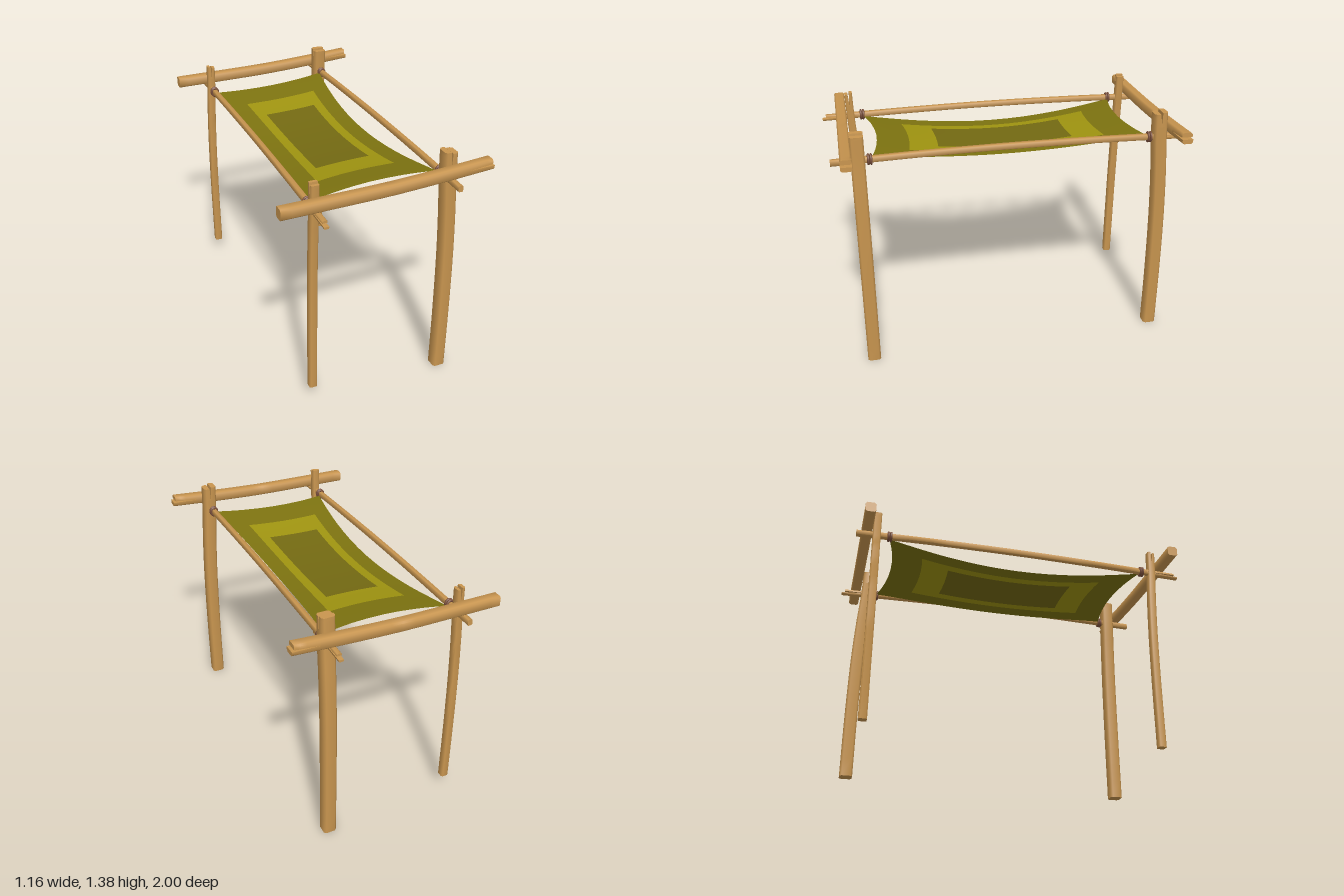
import * as THREE from 'three';
import { toCreasedNormals } from 'three/addons/utils/BufferGeometryUtils.js';

const V = (x, y, z) => new THREE.Vector3(x, y, z);
const material = (name, color, side = THREE.FrontSide) => {
  const m = new THREE.MeshStandardMaterial({ color, side });
  m.name = name;
  return m;
};

// Bevelled rectangle section, or one half of it (half = 1 or -1) beside a crack
function section(w, d, half, gap) {
  const c = Math.min(w, d) * 0.3;
  if (!half) {
    return [[w, c - d], [w, d - c], [w - c, d], [c - w, d],
      [-w, d - c], [-w, c - d], [c - w, -d], [w - c, -d]];
  }
  return [[w, c - d], [w, d - c], [w - c, d], [gap, d], [gap, -d], [w - c, -d]]
    .map(([p, q]) => [p * half, q * half]);
}

// Adds a stretch of timber between t0 and t1 on the curve; a and b are the section axes
function sweep(out, curve, a, b, t0, t1, sectionAt, steps) {
  const rings = [];
  for (let i = 0; i <= steps; i++) {
    const s = i / steps;
    const centre = curve.getPoint(t0 + (t1 - t0) * s);
    rings.push(sectionAt(s).map(([p, q]) => centre.clone().addScaledVector(a, p).addScaledVector(b, q)));
  }
  const tri = (...pts) => pts.forEach((p) => out.push(p.x, p.y, p.z));
  const n = rings[0].length;
  for (let i = 0; i < steps; i++) {
    for (let j = 0; j < n; j++) {
      const k = (j + 1) % n;
      const [lo, hi] = [rings[i], rings[i + 1]];
      tri(lo[j], lo[k], hi[k]);
      tri(lo[j], hi[k], hi[j]);
    }
  }
  const [first, last] = [rings[0], rings[steps]];
  for (let j = 1; j < n - 1; j++) {
    tri(first[0], first[j + 1], first[j]);
    tri(last[0], last[j], last[j + 1]);
  }
}

// Rough timber with a cracked end; w is the half size across the crack, d along it
function timber(name, points, a, w, d, crack, mat) {
  const curve = new THREE.CatmullRomCurve3(points);
  const along = points[points.length - 1].clone().sub(points[0]);
  along.addScaledVector(a, -along.dot(a)).normalize();
  const b = along.cross(a);
  const out = [];
  sweep(out, curve, a, b, 0, crack, () => section(w, d, 0), 16);
  for (const half of [1, -1]) {
    const end = half > 0 ? 0.99 : 1;
    sweep(out, curve, a, b, crack, end, (s) => section(w, d, half, 0.005 * s), 4);
  }
  const g = new THREE.BufferGeometry();
  g.setAttribute('position', new THREE.Float32BufferAttribute(out, 3));
  const mesh = new THREE.Mesh(toCreasedNormals(g, 0.9), mat);
  mesh.name = name;
  return mesh;
}

// Sagging cloth with pinched edges and nested colour bands
function canopyGeometry() {
  const breaks = (...stops) => {
    const list = [];
    for (let i = 0; i < stops.length - 1; i++) {
      for (let k = 0; k < 4; k++) list.push(stops[i] + (stops[i + 1] - stops[i]) * k / 4);
    }
    return [...list, stops[stops.length - 1]];
  };
  const us = breaks(-1, -0.68, -0.5, 0.5, 0.68, 1);
  const vs = breaks(-1, -0.75, -0.53, 0, 0.53, 0.75, 1);
  const pos = [];
  for (const v of vs) {
    for (const u of us) {
      const x = -0.015 + u * (0.355 - 0.06 * (1 - v * v));
      const z = -0.0125 + v * (0.7675 - 0.05 * (1 - u * u));
      pos.push(x, 1.222 + 0.042 * x - 0.062 * (1 - v * v) ** 1.2, z);
    }
  }
  const bands = [[], [], []];
  for (let r = 0; r < vs.length - 1; r++) {
    for (let c = 0; c < us.length - 1; c++) {
      const u = Math.abs(us[c] + us[c + 1]) / 2;
      const v = Math.abs(vs[r] + vs[r + 1]) / 2;
      const band = u < 0.5 && v < 0.53 ? 2 : u < 0.68 && v < 0.75 ? 1 : 0;
      const i = r * us.length + c;
      const j = i + us.length;
      bands[band].push(i, j, i + 1, i + 1, j, j + 1);
    }
  }
  const g = new THREE.BufferGeometry();
  g.setAttribute('position', new THREE.Float32BufferAttribute(pos, 3));
  g.setIndex(bands.flat());
  let start = 0;
  bands.forEach((list, m) => {
    g.addGroup(start, list.length, m);
    start += list.length;
  });
  g.computeVertexNormals();
  return g;
}

export function createModel() {
  const model = new THREE.Group();
  model.name = 'canopyFrame';
  const wood = material('wood', 0xc8954f);
  const rope = material('rope', 0x7a4f3c);
  const cloth = [
    material('clothBorder', 0x7d7310, THREE.DoubleSide),
    material('clothBand', 0x9f9410, THREE.DoubleSide),
    material('clothCentre', 0x746a12, THREE.DoubleSide),
  ];
  const X = V(1, 0, 0), Y = V(0, 1, 0), Z = V(0, 0, 1);

  // Corner posts, each leaning out along one axis towards its foot
  const bend = [[0, 1], [0.28, 0.97], [0.55, 0.8], [0.75, 0.48], [0.88, 0.16], [1, 0]];
  const posts = [
    ['frontLeftPost', 0.36, 0.827, X, 0.038, 0.037, 0, 1.385],
    ['backLeftPost', 0.357, -0.832, Z, -0.044, 0.037, 0, 1.385],
    ['frontRightPost', -0.379, 0.838, Z, -0.03, 0.0225, 0.08, 1.36],
    ['backRightPost', -0.379, -0.855, X, -0.028, 0.0225, 0.08, 1.36],
  ];
  for (const [name, x, z, axis, lean, half, y0, y1] of posts) {
    const pts = bend.map(([t, k]) => V(x, y0 + (y1 - y0) * t, z).addScaledVector(axis, lean * k));
    model.add(timber(name, pts, axis, half, half, 0.9, wood));
  }

  // Cross beams that rise towards one end
  const rise = [[-0.58, 1.264], [-0.3, 1.266], [0, 1.27], [0.3, 1.284], [0.58, 1.302]];
  for (const [name, z] of [['frontBeam', 0.89], ['backBeam', -0.91]]) {
    model.add(timber(name, rise.map(([x, y]) => V(x, y, z)), Y, 0.03, 0.03, 0.87, wood));
  }

  // Long side rails with rope bindings at the cloth corners
  for (const [side, x, y, dir] of [['left', 0.357, 1.232, -1], ['right', -0.383, 1.21, 1]]) {
    const pts = [[-0.97, 0], [-0.5, 0.012], [0, 0.017], [0.5, 0.012], [1, 0]]
      .map(([z, lift]) => V(x, y + lift, z * dir));
    model.add(timber(side + 'Rail', pts, Y, 0.017, 0.0135, 0.9, wood));
    for (const z of [-0.78, 0.765]) {
      for (const dz of [-0.007, 0.007]) {
        const ring = new THREE.Mesh(new THREE.TorusGeometry(0.02, 0.007, 8, 20), rope);
        ring.name = side + 'RopeBinding';
        ring.scale.y = 1.2;
        ring.position.set(x, y + 0.005, z + dz);
        model.add(ring);
      }
    }
  }

  // Cloth slung between the rails
  const canopy = new THREE.Mesh(canopyGeometry(), cloth);
  canopy.name = 'clothCanopy';
  model.add(canopy);
  return model;
}
